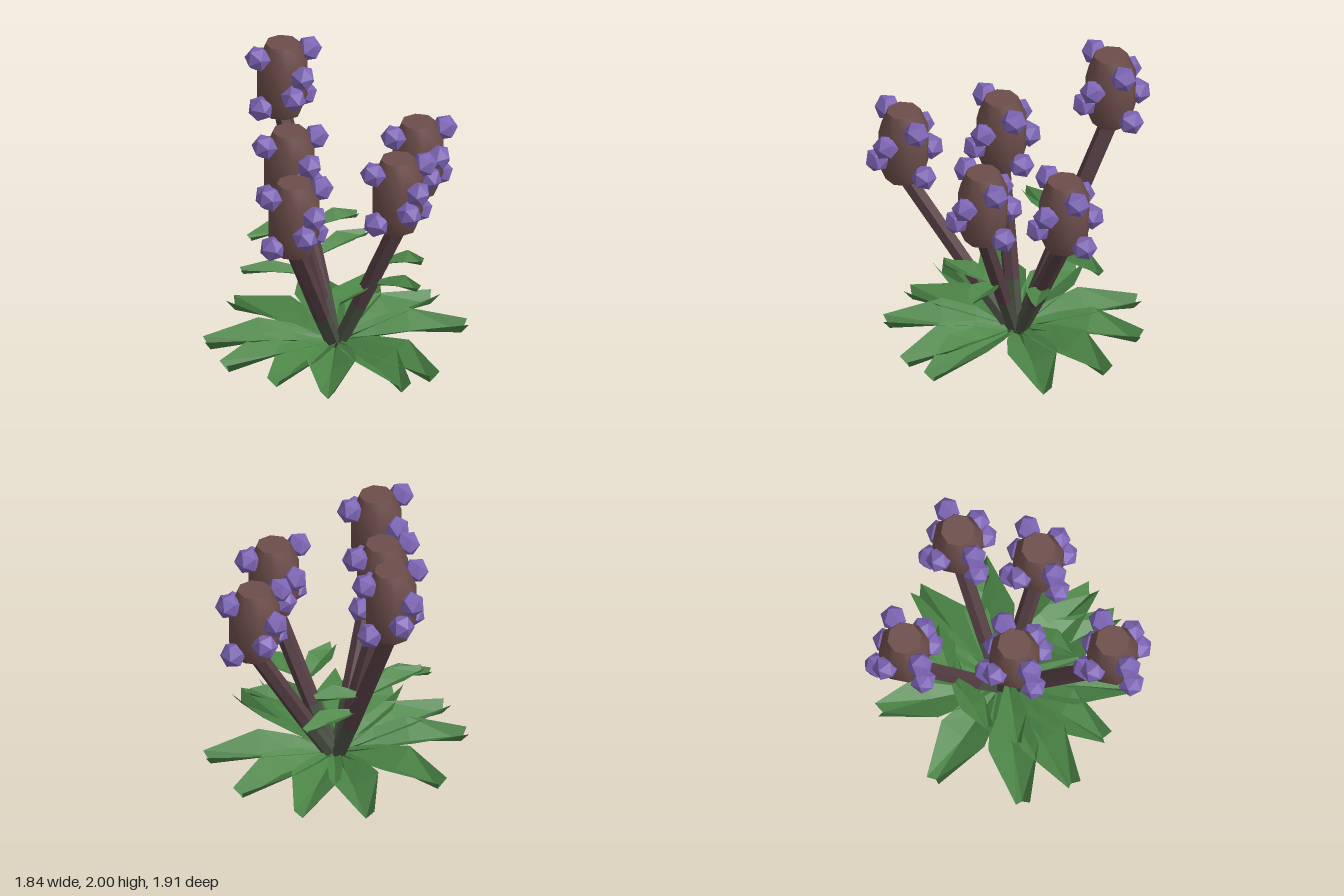
import * as THREE from 'three';
import { toCreasedNormals } from 'three/addons/utils/BufferGeometryUtils.js';

const material = (name, color, options = {}) => {
  const m = new THREE.MeshStandardMaterial({ color, ...options });
  m.name = name;
  return m;
};
const V = (x, y, z) => new THREE.Vector3(x, y, z);

// V-folded leaf with a notched tip: rows of left edge, keel, right edge.
// Each row: position along the leaf, keel position, width, edge lift, keel drop.
const LEAF_ROWS = [
  [0, 0, 0.15, 0, -0.04],
  [0.3, 0.3, 0.72, 0.05, -0.025],
  [0.56, 0.56, 1, 0.075, -0.02],
  [1, 0.95, 0.28, 0, -0.075],
];
function leafGeometry(root, tip, halfWidth, depth) {
  const side = V(tip.z - root.z, 0, root.x - tip.x).normalize();
  const pos = [], index = [];
  LEAF_ROWS.forEach(([t, keelT, w, lift, drop], i) => {
    for (const s of [-1, 0, 1]) {
      const p = root.clone().lerp(tip, s ? t : keelT);
      p.addScaledVector(side, s * w * halfWidth);
      p.y += (s ? lift : drop) * depth;
      pos.push(p.x, p.y, p.z);
    }
    if (i === 0) return;
    for (let j = 0; j < 2; j++) {
      const a = (i - 1) * 3 + j, b = a + 3;
      index.push(a, b, a + 1, b, b + 1, a + 1);
    }
  });
  const g = new THREE.BufferGeometry();
  g.setAttribute('position', new THREE.Float32BufferAttribute(pos, 3));
  g.setIndex(index);
  const flat = g.toNonIndexed();
  flat.computeVertexNormals();
  return flat;
}

// Cylinder between two points
function rodGeometry(a, b, r0, r1) {
  const dir = b.clone().sub(a);
  const g = new THREE.CylinderGeometry(r1, r0, dir.length(), 6);
  g.applyQuaternion(new THREE.Quaternion().setFromUnitVectors(V(0, 1, 0), dir.normalize()));
  const mid = a.clone().add(b).multiplyScalar(0.5);
  return g.translate(mid.x, mid.y, mid.z);
}

export function createModel() {
  const model = new THREE.Group();
  model.name = 'floweringPlant';
  const leafGreen = material('leaf green', 0x4b8446, { flatShading: true, side: THREE.DoubleSide });
  const stemBrown = material('stem brown', 0x553e43, { flatShading: true });
  const stemGreen = material('stem base green', 0x4a5143, { flatShading: true });
  const headBrown = material('flower head brown', 0x6d4e4b);
  const petalPurple = material('petal purple', 0x7d65b5, { flatShading: true });

  const add = (parent, name, geometry, mat) => {
    const mesh = new THREE.Mesh(geometry, mat);
    mesh.name = name;
    parent.add(mesh);
    return mesh;
  };

  // Eight-sided barrel shared by all flower heads
  const profile = [[0, 0], [0.125, 0], [0.172, 0.12], [0.172, 0.38], [0.115, 0.52], [0, 0.52]]
    .map(([r, y]) => new THREE.Vector2(r, y));
  const headGeometry = toCreasedNormals(new THREE.LatheGeometry(profile, 8, 0.25), 0.9);
  const petalGeometry = new THREE.IcosahedronGeometry(0.09, 0);
  const petals = [
    [0.18, 0.44, 0.06], [0.19, 0.08, 0.0],
    [-0.19, 0.45, -0.03], [-0.19, 0.09, 0.0],
    [0.02, 0.32, 0.185], [-0.06, 0.19, 0.185],
    [-0.02, 0.33, -0.185], [0.07, 0.19, -0.185],
  ];

  // Stems with flower heads; each entry is the bottom of a head
  const base = V(0.05, 0.03, 0.04);
  const heads = [
    V(0.2, 1.47, -0.69), V(-0.24, 1.19, -0.1), V(0.65, 1.07, 0.18),
    V(-0.64, 1.14, 0.42), V(0.2, 1.07, 0.5),
  ];
  for (const top of heads) {
    const flower = new THREE.Group();
    flower.name = 'flower';
    model.add(flower);
    const split = base.clone().lerp(top, (0.42 - base.y) / (top.y - base.y));
    const end = top.clone().add(V(0, 0.02, 0));
    add(flower, 'stemBase', rodGeometry(base, split, 0.05, 0.058), stemGreen);
    add(flower, 'stem', rodGeometry(split, end, 0.058, 0.06), stemBrown);
    add(flower, 'flowerHead', headGeometry, headBrown).position.copy(top);
    petals.forEach(([x, y, z], i) => {
      const petal = add(flower, 'petal', petalGeometry, petalPurple);
      petal.position.copy(top).add(V(x, y, z));
      petal.rotation.set(i * 0.9, i * 1.7, i * 0.6);
    });
  }

  // Rosette of ground leaves: direction in degrees and length
  const rosette = [
    [-106, 0.85], [-63, 0.86], [-33, 0.86], [0, 0.87], [32, 0.89], [84, 0.91],
    [100, 0.91], [134, 0.89], [161, 0.82], [188, 0.89], [212, 0.89],
  ];
  for (const [degrees, length] of rosette) {
    const a = THREE.MathUtils.degToRad(degrees);
    const tip = V(base.x + Math.cos(a) * length, 0.165, base.z + Math.sin(a) * length);
    add(model, 'groundLeaf', leafGeometry(V(base.x, 0.11, base.z), tip, 0.17, 1), leafGreen);
  }

  // Small leaves on the stems: stem number, root height, tip
  const stemLeaves = [
    [0, 0.78, V(-0.34, 0.83, -0.4)], [0, 0.77, V(0.45, 0.83, -0.2)],
    [0, 0.6, V(0.57, 0.64, -0.24)], [1, 0.62, V(-0.5, 0.68, -0.3)],
    [4, 0.57, V(-0.26, 0.64, 0.42)], [4, 0.6, V(0.25, 0.67, 0.66)],
    [2, 0.6, V(0.55, 0.65, 0.35)],
  ];
  for (const [stem, y, tip] of stemLeaves) {
    const root = base.clone().lerp(heads[stem], (y - base.y) / (heads[stem].y - base.y));
    add(model, 'stemLeaf', leafGeometry(root, tip, 0.09, 0.5), leafGreen);
  }
  return model;
}
